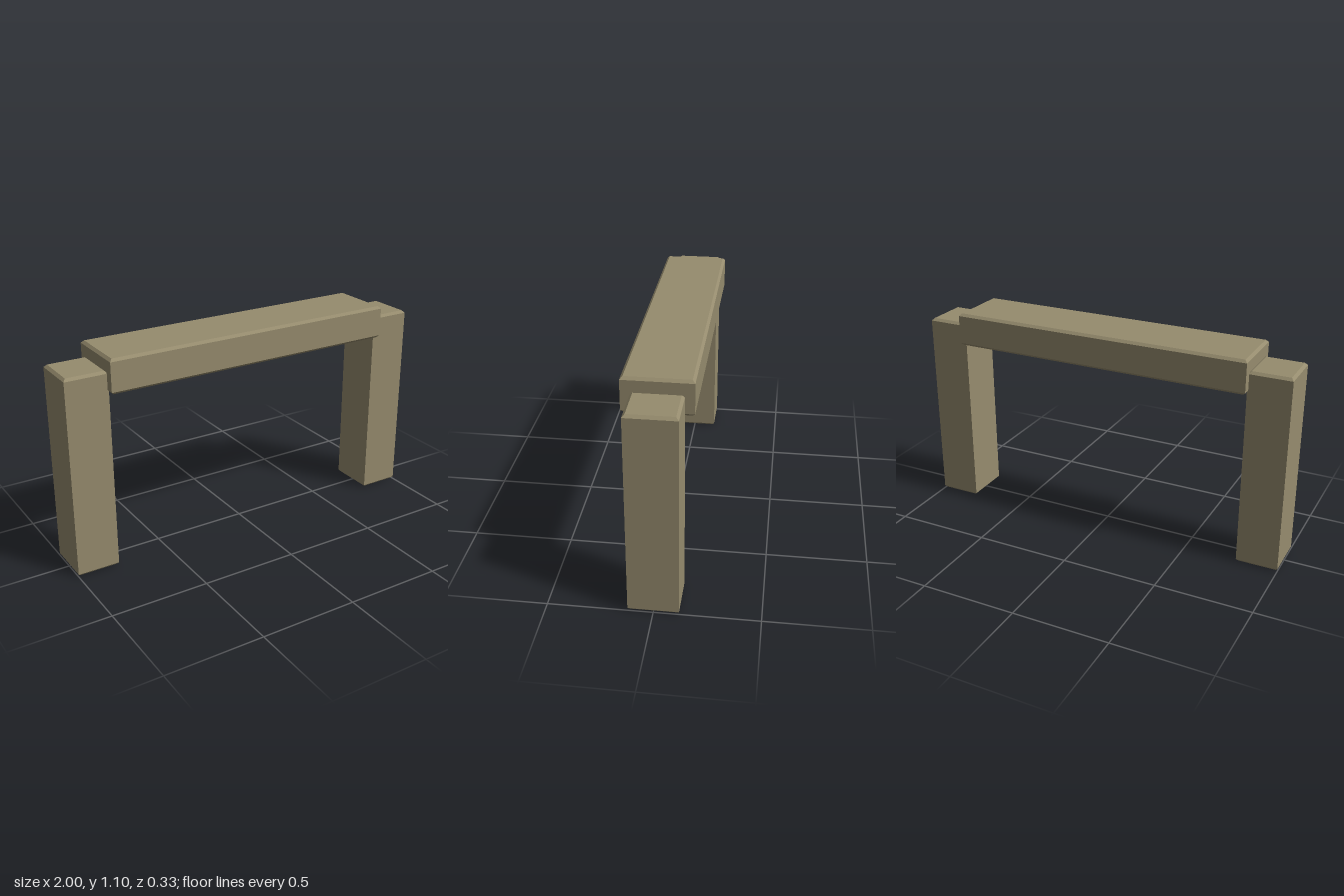
import * as THREE from 'three';

const CHAMFER = 0.013;
const material = new THREE.MeshStandardMaterial({ color: 0x968c6e, flatShading: true });

// Block with bevelled top and bottom rims and sharp upright edges
function chamferedBlock(name, w, h, d, x, y) {
  const geometry = new THREE.BoxGeometry(w, h, d, 1, 3, 1);
  const p = geometry.attributes.position;
  for (let i = 0; i < p.count; i++) {
    const py = p.getY(i);
    if (Math.abs(py) > h * 0.4) {
      // Rim rows are drawn inwards
      p.setX(i, p.getX(i) - Math.sign(p.getX(i)) * CHAMFER);
      p.setZ(i, p.getZ(i) - Math.sign(p.getZ(i)) * CHAMFER);
    } else {
      // Middle rows become the lower edges of the bevels
      p.setY(i, Math.sign(py) * (h / 2 - CHAMFER));
    }
  }
  geometry.computeVertexNormals();
  const mesh = new THREE.Mesh(geometry, material);
  mesh.name = name;
  mesh.position.set(x, y + h / 2, 0);
  return mesh;
}

export function createModel() {
  const model = new THREE.Group();
  model.name = 'postAndBeamFrame';

  // Upright posts
  for (const side of [-1, 1]) {
    model.add(chamferedBlock(side > 0 ? 'leftPost' : 'rightPost', 0.217, 1.032, 0.241, side * 0.8915, 0));
  }

  // Wider crossbeam, sunk slightly into the posts
  model.add(chamferedBlock('crossbeam', 1.578, 0.174, 0.33, 0, 0.926));
  return model;
}
